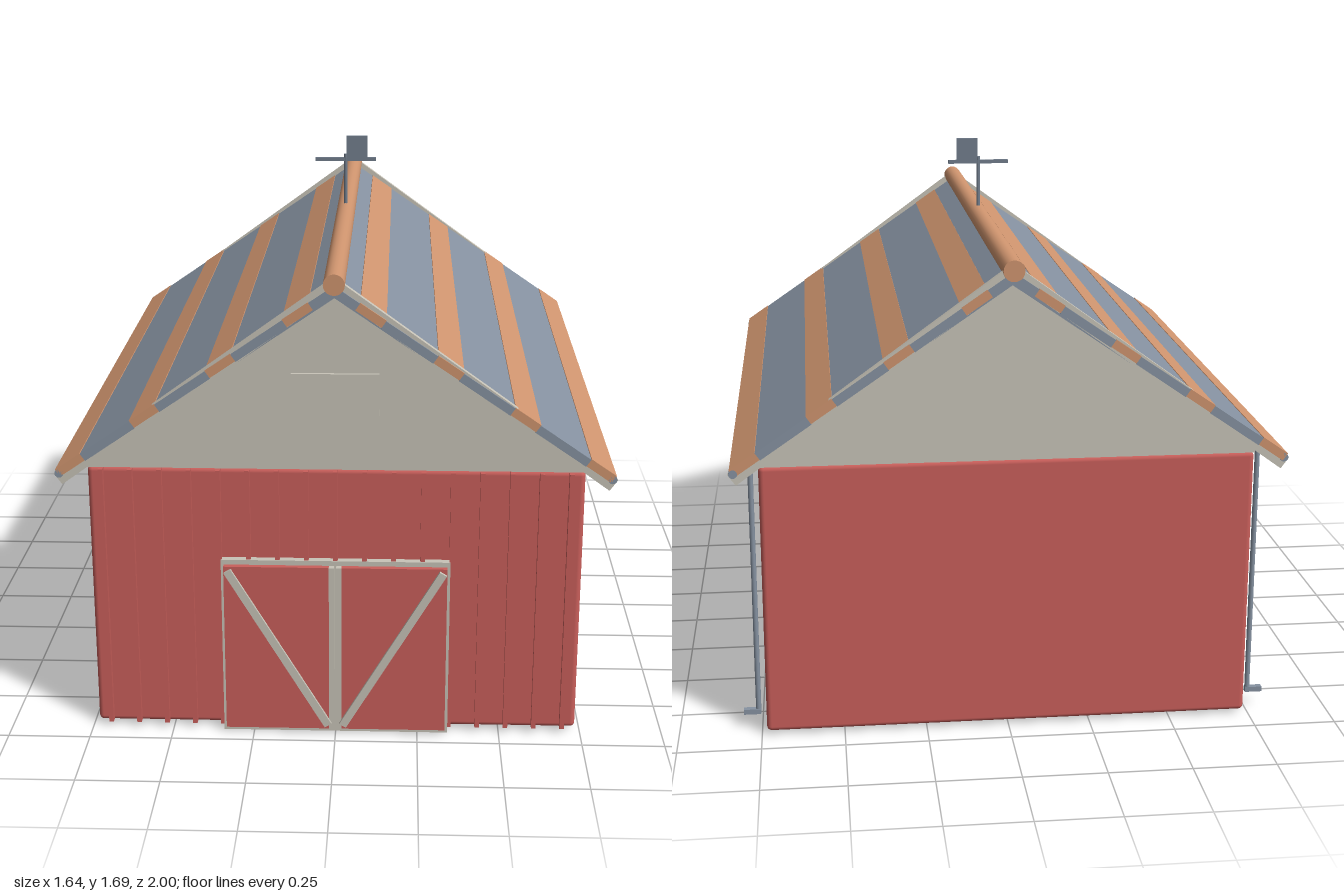
import * as THREE from 'three';
import { RoundedBoxGeometry } from 'three/addons/geometries/RoundedBoxGeometry.js';

const mat = (name, color) => {
  const m = new THREE.MeshStandardMaterial({ color });
  m.name = name;
  return m;
};

export function createModel() {
  const barn = new THREE.Group();
  barn.name = 'barn';
  const red = mat('barn red', 0xc95f5b);
  const cream = mat('cream trim', 0xc8c4b8);
  const copper = mat('copper roofing', 0xd0956f);
  const slate = mat('slate roofing', 0x8692a1);
  const iron = mat('dark iron', 0x727e8d);

  const add = (name, geo, material, x = 0, y = 0, z = 0, parent = barn) => {
    const m = new THREE.Mesh(geo, material);
    m.name = name;
    m.position.set(x, y, z);
    parent.add(m);
    return m;
  };
  // Box given by its limits on each axis
  const block = (name, material, x0, x1, y0, y1, z0, z1, parent) =>
    add(name, new THREE.BoxGeometry(x1 - x0, y1 - y0, z1 - z0), material,
      (x0 + x1) / 2, (y0 + y1) / 2, (z0 + z1) / 2, parent);
  // Flat bar centred on a line from a to b in the xy plane
  const bar = (name, material, a, b, width, z0, z1) => {
    const dx = b[0] - a[0], dy = b[1] - a[1];
    const m = add(name, new THREE.BoxGeometry(Math.hypot(dx, dy), width, z1 - z0), material,
      (a[0] + b[0]) / 2, (a[1] + b[1]) / 2, (z0 + z1) / 2);
    m.rotation.z = Math.atan2(dy, dx);
    return m;
  };

  // Walls
  add('walls', new RoundedBoxGeometry(1.47, 0.84, 1.832, 3, 0.015), red, 0, 0.435, 0);

  // Gable prism under the roof
  const gable = new THREE.Shape([[-0.735, 0.853], [0.735, 0.853], [0.735, 0.885], [0, 1.392], [-0.735, 0.885]]
    .map(p => new THREE.Vector2(...p)));
  add('gable', new THREE.ExtrudeGeometry(gable, { depth: 1.832, bevelEnabled: false }), cream, 0, 0, -0.916);
  block('loftHatch', cream, -0.128, 0.128, 0.93, 1.15, 0.91, 0.926);

  // Battens on the front wall
  for (let i = -8; i <= 8; i++) {
    const x = i * 0.0867;
    block('batten', red, x - 0.007, x + 0.007, 0.02, 0.852, 0.91, 0.935);
  }

  // Double doors
  block('doorFrame', cream, -0.343, 0.343, 0.003, 0.57, 0.91, 0.938);
  for (const s of [-1, 1]) {
    add('doorPanel', new THREE.BoxGeometry(0.315, 0.535, 0.02), red, s * 0.1765, 0.2875, 0.945);
    bar('doorBrace', cream, [s * 0.322, 0.543], [s * 0.022, 0.035], 0.024, 0.95, 0.965);
    add('doorStile', new THREE.BoxGeometry(0.016, 0.535, 0.02), cream, s * 0.011, 0.2875, 0.947);
  }

  // Roof: eleven planks on each slope, every third one copper
  const ridge = new THREE.Vector2(0, 1.43), eave = new THREE.Vector2(0.815, 0.87);
  const pitch = Math.atan2(ridge.y - eave.y, eave.x);
  const length = ridge.distanceTo(eave), count = 11, step = length / count;
  for (const s of [-1, 1]) {
    const slope = new THREE.Group();
    slope.name = s > 0 ? 'leftRoofSlope' : 'rightRoofSlope';
    slope.position.y = ridge.y;
    slope.rotation.z = -s * pitch;
    barn.add(slope);
    for (let i = 0; i < count; i++) {
      const isCopper = (count - 1 - i) % 3 === 0;
      add('roofPlank', new THREE.BoxGeometry(step, 0.026, 1.976), isCopper ? copper : slate,
        s * (i + 0.5) * step, isCopper ? -0.013 : -0.015, 0, slope);
    }
    add('roofDeck', new THREE.BoxGeometry(length - 0.01, 0.01, 1.92), slate, s * length / 2, -0.032, 0, slope);

    // Bargeboards at both ends
    for (const z of [-0.973, 0.973]) {
      bar('bargeboard', cream, [0, 1.426], [s * 0.808, 0.839], 0.04, z - 0.01, z + 0.01);
    }

    // Gutter
    const gutter = add('gutter', new THREE.CylinderGeometry(0.013, 0.013, 1.976, 12), slate, s * 0.804, 0.858, 0);
    gutter.rotation.x = Math.PI / 2;

    // Downspout with its outlet
    add('downspout', new THREE.CylinderGeometry(0.008, 0.008, 0.82, 12), slate, s * 0.76, 0.46, -0.855);
    add('downspoutOutlet', new THREE.BoxGeometry(0.052, 0.016, 0.018), slate, s * 0.779, 0.058, -0.855);
  }
  const cap = add('ridgeCap', new THREE.CylinderGeometry(0.031, 0.031, 2, 20), copper, 0, 1.433, 0);
  cap.rotation.x = Math.PI / 2;

  // Weather vane
  add('vanePole', new THREE.CylinderGeometry(0.006, 0.006, 0.18, 10), iron, 0, 1.54, 0);
  block('vaneArm', iron, -0.1, 0.1, 1.606, 1.618, -0.005, 0.005);
  block('vaneFlag', iron, 0.002, 0.072, 1.618, 1.69, -0.004, 0.004);

  return barn;
}
